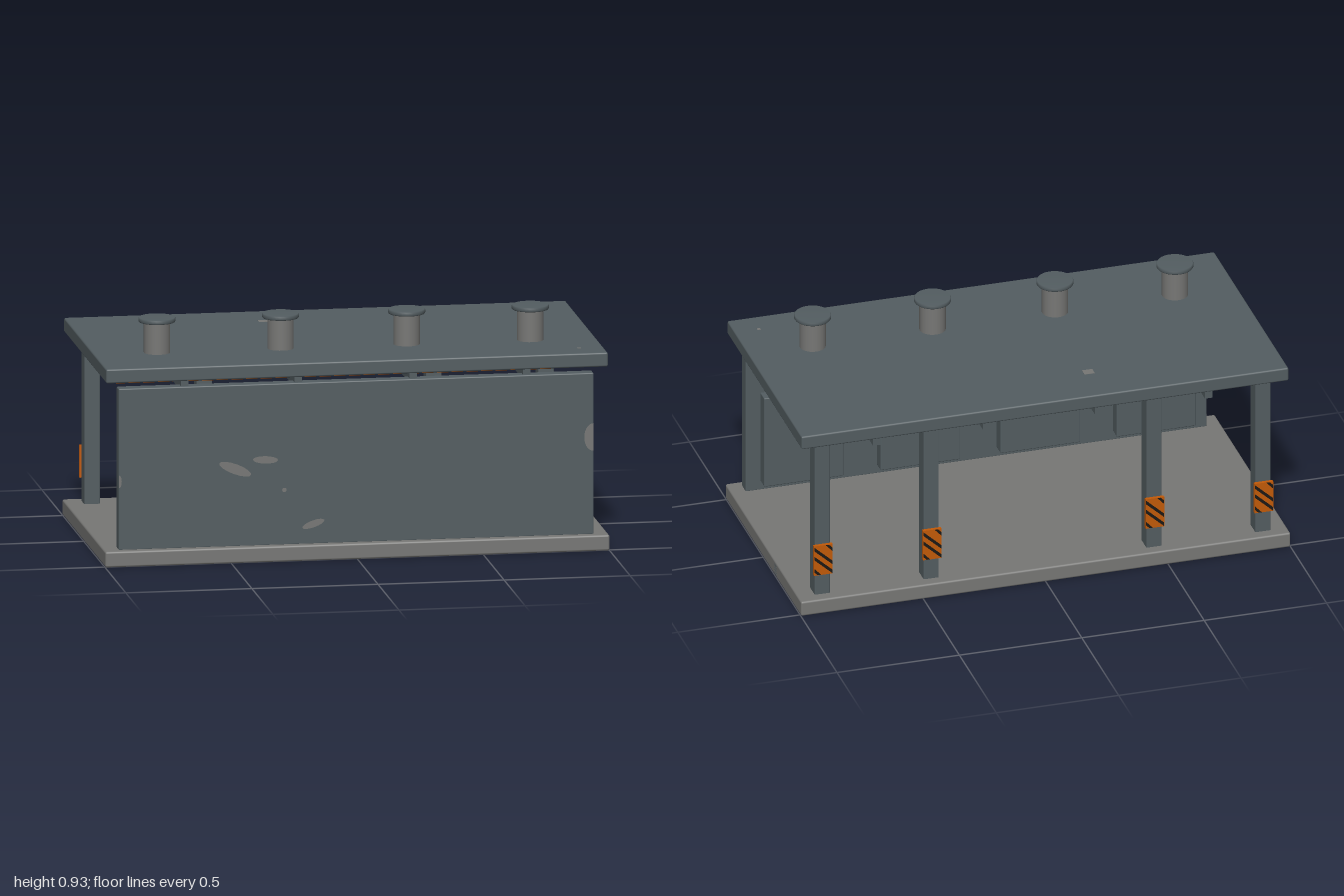
import * as THREE from 'three';
import { RoundedBoxGeometry } from 'three/addons/geometries/RoundedBoxGeometry.js';

const flat = (color, extra = {}) => new THREE.MeshStandardMaterial({ color, ...extra });

export function createModel() {
  const slate = flat(0x535d61); slate.name = 'slate';
  const concrete = flat(0x777775); concrete.name = 'concrete';
  const orange = flat(0xc25a08); orange.name = 'safety orange';
  const black = flat(0x1c1814); black.name = 'stripe black';

  const model = new THREE.Group();
  model.name = 'openShelter';

  const add = (name, geometry, material, x = 0, y = 0, z = 0, parent = model) => {
    const mesh = new THREE.Mesh(geometry, material);
    mesh.name = name;
    mesh.position.set(x, y, z);
    parent.add(mesh);
    return mesh;
  };
  // Box given by its extents, with softly rounded edges when r > 0
  const box = (name, material, [x0, x1], [y0, y1], [z0, z1], r = 0) => {
    const s = [x1 - x0, y1 - y0, z1 - z0];
    const g = r ? new RoundedBoxGeometry(...s, 2, r) : new THREE.BoxGeometry(...s);
    return add(name, g, material, (x0 + x1) / 2, (y0 + y1) / 2, (z0 + z1) / 2);
  };
  const around = (c, half) => [c - half, c + half];
  const polygon = points => new THREE.ShapeGeometry(new THREE.Shape(points.map(p => new THREE.Vector2(...p))));

  // Main slabs
  box('floorSlab', concrete, [-1, 1], [0, 0.063], [-0.515, 0.515], 0.008);
  box('frontWall', slate, [-0.942, 0.942], [0.06, 0.706], [0.43, 0.482], 0.005);
  box('roof', slate, [-0.995, 0.995], [0.733, 0.79], [-0.505, 0.505], 0.007);

  // Rafters under the roof
  for (const x of [-0.678, -0.228, 0.228, 0.678])
    box('rafter', slate, around(x, 0.015), [0.687, 0.736], [-0.47, 0.47]);

  // Rear posts with striped warning plates
  for (const x of [-0.9, -0.455, 0.455, 0.9]) {
    box('rearPost', slate, around(x, 0.031), [0.06, 0.735], [-0.47, -0.402], 0.003);
    box('warningPlate', orange, around(x, 0.038), [0.155, 0.285], [-0.484, -0.47]);
    const stripes = new THREE.Group();
    stripes.name = 'warningStripes';
    stripes.position.set(x, 0.22, -0.485);
    stripes.rotation.y = Math.PI;
    model.add(stripes);
    const w = 0.037;
    for (const a of [0.06, 0.02])
      add('stripe', polygon([[-w, a - 0.016], [w, a - 0.084], [w, a - 0.068], [-w, a]]), black, 0, 0, 0, stripes);
    add('cornerStripe', polygon([[w - 0.028, 0.064], [w, 0.034], [w, 0.05], [w - 0.014, 0.064]]), black, 0, 0, 0, stripes);
    add('cornerStripe', polygon([[-w, -0.05], [-w + 0.014, -0.064], [-w + 0.028, -0.064], [-w, -0.034]]), black, 0, 0, 0, stripes);
  }

  // Cabinets on the inner side of the wall, each with a bar handle
  for (const x of [-0.72, -0.245, 0.245, 0.72]) {
    box('cabinet', slate, around(x, 0.162), [0.1, 0.492], [0.377, 0.432], 0.004);
    box('cabinetHandle', concrete, around(x, 0.12), [0.463, 0.482], [0.366, 0.378]);
  }

  // Hanging rail with diagonal stripes on its ends
  box('hangingRail', orange, [-0.865, 0.865], [0.615, 0.648], [-0.079, -0.049], 0.003);
  for (const side of [-1, 1])
    for (const d of [-0.008, 0, 0.008]) {
      const stripe = add('railEndStripe', new THREE.BoxGeometry(0.002, 0.003, 0.024),
        black, side * 0.8655, 0.6315 + d, -0.064);
      stripe.rotation.x = 0.5;
    }

  // Roof vents
  for (const x of [-0.745, -0.255, 0.245, 0.735]) {
    add('ventPipe', new THREE.CylinderGeometry(0.052, 0.052, 0.135, 24), concrete, x, 0.85, 0.21);
    const cap = [[0, 0], [0.07, 0], [0.073, 0.004], [0.073, 0.014], [0.07, 0.018], [0, 0.018]];
    add('ventCap', new THREE.LatheGeometry(cap.map(p => new THREE.Vector2(...p)), 32), slate, x, 0.913, 0.21);
  }

  // Worn patches on the wall: x, y, half width, half height, tilt
  for (const [x, y, a, b, tilt] of [
    [-0.48, 0.37, 0.068, 0.02, -0.38], [-0.36, 0.403, 0.05, 0.015, -0.05],
    [-0.285, 0.28, 0.009, 0.009, 0], [-0.17, 0.141, 0.046, 0.014, 0.32]]) {
    const patch = add('wallPatch', new THREE.CircleGeometry(1, 16), concrete, x, y, 0.4832);
    patch.scale.set(a, b, 1);
    patch.rotation.z = tilt;
  }
  const edgePatch = add('wallEdgePatch', new THREE.CircleGeometry(1, 14, Math.PI / 2, Math.PI), concrete, 0.94, 0.45, 0.4832);
  edgePatch.scale.set(0.036, 0.055, 1);
  const smallEdgePatch = add('wallEdgePatch', new THREE.CircleGeometry(1, 10, -Math.PI / 2, Math.PI), concrete, -0.94, 0.335, 0.4832);
  smallEdgePatch.scale.set(0.01, 0.025, 1);

  // Worn patches on the roof
  box('roofPatch', concrete, around(-0.235, 0.021), [0.789, 0.791], around(-0.31, 0.018));
  box('roofPatch', concrete, around(0.897, 0.007), [0.789, 0.791], around(0.402, 0.007));

  // Fine scratches on the slab edge
  for (let i = 0; i < 6; i++)
    box('slabScratch', slate, [0.999, 1.001], around(0.012 + i * 0.008, 0.0012), around(-0.165 - (i % 2) * 0.004, 0.016));

  return model;
}
